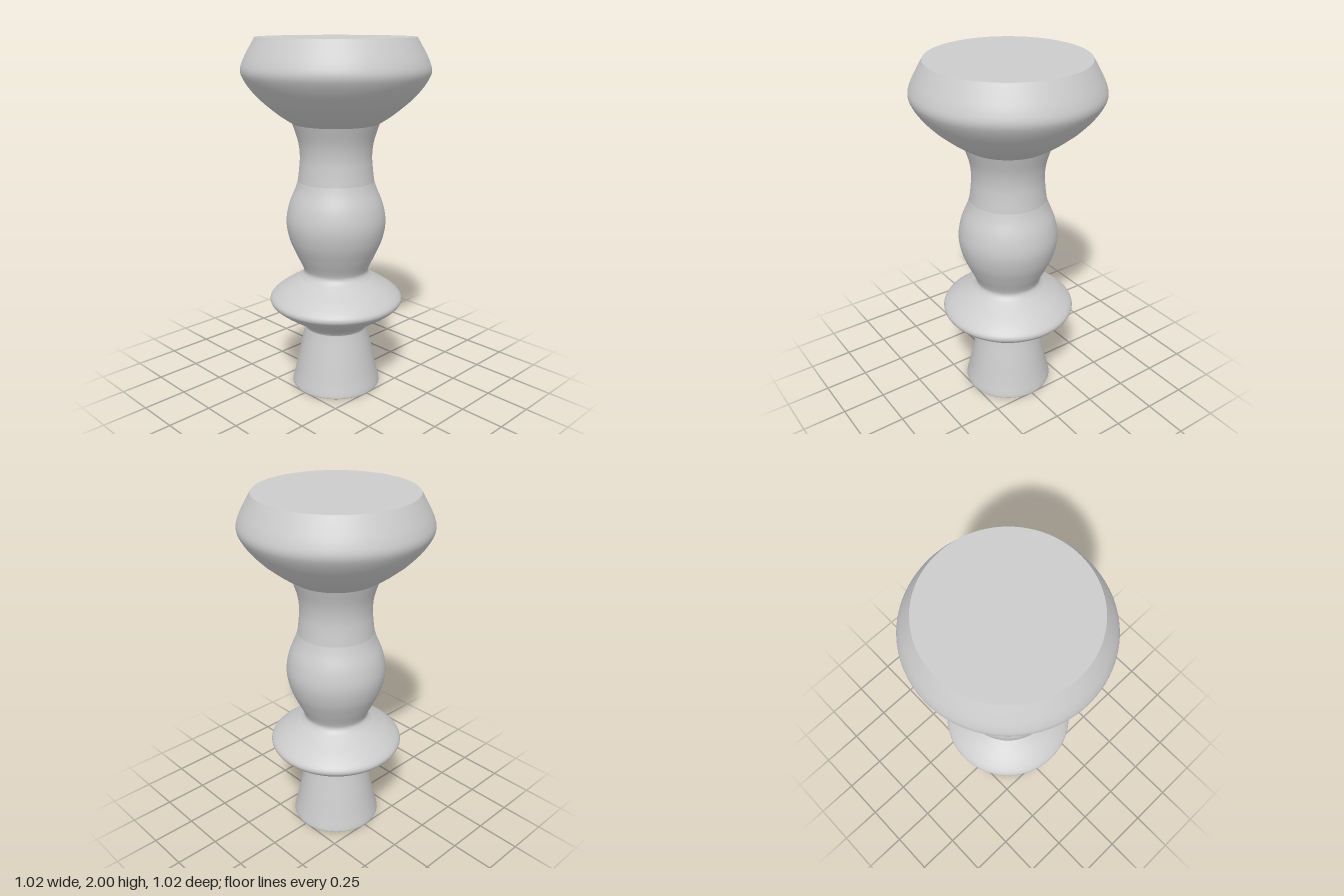
import * as THREE from 'three';

const material = new THREE.MeshStandardMaterial({ color: 0xcccccc, side: THREE.DoubleSide });
const SIDES = 96;

// Each turned section is a smooth profile of [radius, height] points, bottom to top.
// Neighbouring sections share an end point, which leaves a crisp crease between them.
const sections = {
  foot: [[0.25, 0], [0.256, 0.012], [0.238, 0.09], [0.212, 0.21], [0.183, 0.34], [0.183, 0.365],
    [0.205, 0.392]],
  collarDisc: [[0.205, 0.392], [0.25, 0.42], [0.315, 0.463], [0.366, 0.503], [0.381, 0.53],
    [0.366, 0.558], [0.315, 0.598], [0.25, 0.638], [0.205, 0.668]],
  bulb: [[0.205, 0.668], [0.186, 0.692], [0.189, 0.722], [0.226, 0.8], [0.263, 0.89], [0.28, 0.99],
    [0.264, 1.09], [0.228, 1.18], [0.213, 1.225]],
  neck: [[0.213, 1.225], [0.204, 1.3], [0.2, 1.37], [0.21, 1.45], [0.24, 1.545]],
  headUnderside: [[0.24, 1.545], [0.315, 1.595], [0.395, 1.66]],
  head: [[0.395, 1.66], [0.455, 1.723], [0.497, 1.785], [0.51, 1.83], [0.496, 1.88],
    [0.465, 1.94], [0.43, 2]],
};

function turned(name, points) {
  const curve = new THREE.SplineCurve(points.map(([r, y]) => new THREE.Vector2(r, y)));
  const mesh = new THREE.Mesh(
    new THREE.LatheGeometry(curve.getPoints((points.length - 1) * 6), SIDES), material);
  mesh.name = name;
  return mesh;
}

// Flat disc closing an end; direction is +1 facing up, -1 facing down
function cap(name, radius, y, direction) {
  const mesh = new THREE.Mesh(new THREE.CircleGeometry(radius, SIDES), material);
  mesh.rotation.x = -direction * Math.PI / 2;
  mesh.position.y = y;
  mesh.name = name;
  return mesh;
}

export function createModel() {
  const group = new THREE.Group();
  group.name = 'turnedKnob';
  for (const [name, points] of Object.entries(sections)) group.add(turned(name, points));
  group.add(cap('base', 0.25, 0, -1), cap('topFace', 0.43, 2, 1));
  return group;
}
